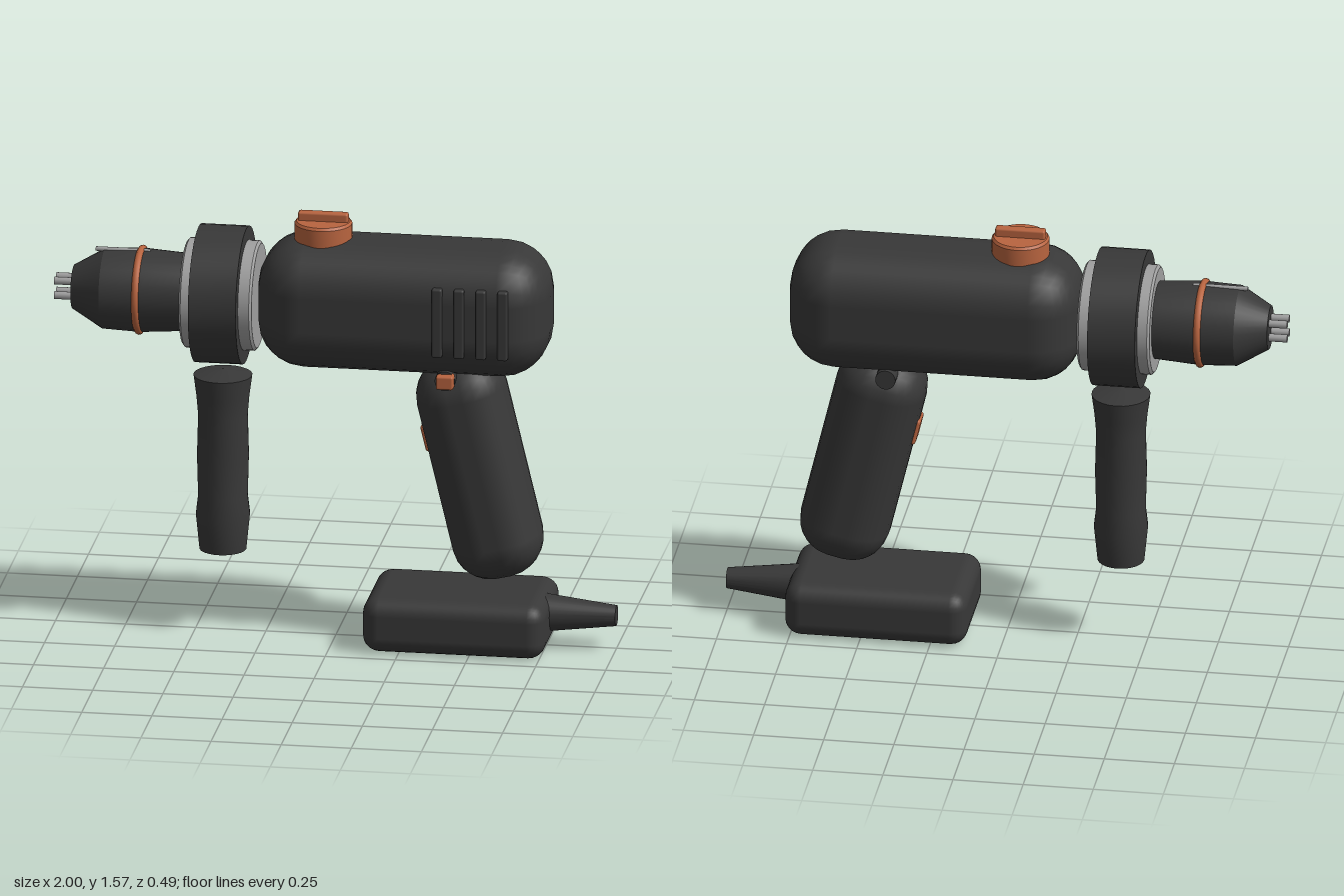
import * as THREE from 'three';
import { toCreasedNormals } from 'three/addons/utils/BufferGeometryUtils.js';
import { RoundedBoxGeometry } from 'three/addons/geometries/RoundedBoxGeometry.js';

const AXIS_Y = 1.243; // height of the drive axis

export function createModel() {
  const model = new THREE.Group();
  model.name = 'powerDrill';
  const material = (name, color) => {
    const m = new THREE.MeshStandardMaterial({ color });
    m.name = name;
    return m;
  };
  const dark = material('charcoal plastic', 0x383838);
  const copper = material('copper accent', 0xb8643f);
  const steel = material('steel', 0xa0a0a0);

  const add = (name, geometry, mat, x, y, z = 0) => {
    const mesh = new THREE.Mesh(geometry, mat);
    mesh.name = name;
    mesh.position.set(x, y, z);
    model.add(mesh);
    return mesh;
  };
  // Turned part from [radius, height] pairs, bottom to top
  const turned = (points, sides = 32) => toCreasedNormals(
    new THREE.LatheGeometry(points.map(([r, h]) => new THREE.Vector2(r, h)), sides), 0.35);
  // Turned part lying along x
  const turnedX = (points, sides) => turned(points, sides).rotateZ(-Math.PI / 2);

  // Motor housing
  add('motorHousing', new RoundedBoxGeometry(1.04, 0.465, 0.42, 3, 0.17), dark, 0.25, AXIS_Y);

  // Vent ribs on the front side
  for (let i = 0; i < 4; i++) {
    add('ventRib', new RoundedBoxGeometry(0.037, 0.255, 0.03, 2, 0.008), dark, 0.392 + i * 0.078, AXIS_Y, 0.205);
  }

  // Gear collar and clamp ring
  add('gearCollar', turnedX([[0, -0.13], [0.185, -0.13], [0.195, -0.122], [0.195, 0.122], [0.185, 0.13], [0, 0.13]], 40),
    steel, -0.403, AXIS_Y);
  add('clampRing', turnedX([[0, -0.085], [0.245, -0.085], [0.245, 0.085], [0, 0.085]], 40), dark, -0.405, AXIS_Y);

  // Chuck
  add('chuck', turnedX([[0, -0.935], [0.078, -0.935], [0.143, -0.825], [0.149, -0.69], [0.137, -0.52], [0, -0.52]]),
    dark, 0, AXIS_Y);
  add('chuckRing', new THREE.TorusGeometry(0.146, 0.013, 10, 40).rotateY(Math.PI / 2), copper, -0.695, AXIS_Y);
  for (const y of [-1, 1]) {
    for (const z of [-1, 1]) {
      add('jaw', new THREE.CylinderGeometry(0.014, 0.014, 0.1, 12).rotateZ(Math.PI / 2),
        steel, -0.95, AXIS_Y + y * 0.027, z * 0.025);
    }
  }
  add('chuckKeyRod', new THREE.CylinderGeometry(0.008, 0.008, 0.195, 10).rotateZ(Math.PI / 2), steel, -0.758, 1.388);

  // Side handle below the clamp ring
  add('sideHandle', turned([[0, 0.3], [0.083, 0.3], [0.096, 0.43], [0.088, 0.5], [0.092, 0.65],
    [0.088, 0.8], [0.094, 0.87], [0.104, 0.945], [0, 0.967]], 24), dark, -0.403, 0);

  // Slanted grip with trigger
  const slant = 0.235;
  add('grip', new RoundedBoxGeometry(0.322, 0.82, 0.312, 3, 0.135), dark, 0.513, 0.655).rotation.z = slant;
  add('trigger', new RoundedBoxGeometry(0.08, 0.1, 0.09, 2, 0.012), copper, 0.354, 0.763).rotation.z = slant;

  // Direction switch through the top of the grip
  add('switchBarrel', new THREE.CylinderGeometry(0.036, 0.036, 0.32, 20).rotateX(Math.PI / 2), dark, 0.412, 1.012);
  add('switchButton', new RoundedBoxGeometry(0.062, 0.05, 0.05, 2, 0.008), copper, 0.415, 1.013, 0.165);

  // Mode dial on top
  add('modeDial', turned([[0, 1.455], [0.102, 1.455], [0.102, 1.526], [0.095, 1.535], [0, 1.535]], 40), copper, -0.045, 0);
  add('dialBar', new RoundedBoxGeometry(0.178, 0.045, 0.036, 2, 0.008), copper, -0.045, 1.543);

  // Base pack with cable sleeve
  add('basePack', new RoundedBoxGeometry(0.65, 0.2, 0.42, 3, 0.06), dark, 0.445, 0.1);
  add('cableSleeve', turnedX([[0, 0.72], [0.071, 0.72], [0.037, 1], [0, 1]], 28), dark, 0, 0.121);

  return model;
}
